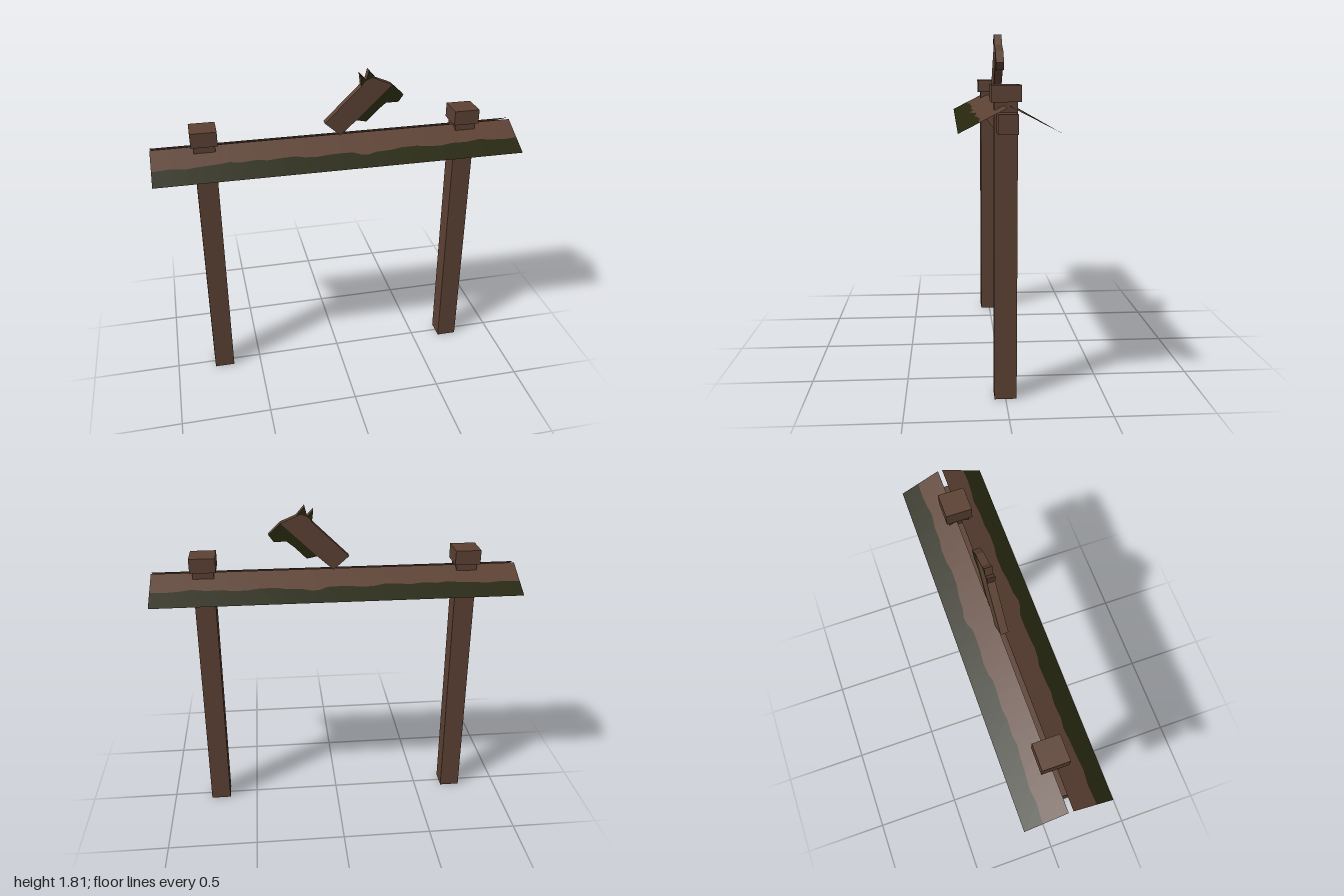
import * as THREE from 'three';

export function createModel() {
  const wood = new THREE.MeshStandardMaterial({ color: 0x5c4133, side: THREE.DoubleSide });
  wood.name = 'brown wood';
  const moss = new THREE.MeshStandardMaterial({ color: 0x26260f, side: THREE.DoubleSide });
  moss.name = 'dark moss';

  const group = new THREE.Group();
  const add = (name, geometry, material) => {
    const mesh = new THREE.Mesh(geometry, material);
    mesh.name = name;
    group.add(mesh);
    return mesh;
  };
  const box = (name, w, y0, y1, d, x = 0) =>
    add(name, new THREE.BoxGeometry(w, y1 - y0, d), wood).position.set(x, (y0 + y1) / 2, 0);

  // Posts with square caps, joined by a cross beam
  for (const [label, s] of [['left', 1], ['right', -1]]) {
    box(label + 'Post', 0.113, 0, 1.48, 0.11, s * 0.72);
    box(label + 'PostCap', 0.14, 1.476, 1.556, 0.144, s * 0.72);
  }
  box('crossBeam', 1.826, 1.335, 1.427, 0.092);

  // Roof slopes: thin sheets, wood above a ragged mossy eave; edge is [x, z distance]
  const edge = [
    [-1, 0.138], [-0.9, 0.132], [-0.82, 0.14], [-0.74, 0.133], [-0.65, 0.128], [-0.6, 0.122],
    [-0.54, 0.13], [-0.46, 0.124], [-0.4, 0.132], [-0.32, 0.126], [-0.25, 0.124], [-0.2, 0.135],
    [-0.14, 0.139], [-0.08, 0.133], [0, 0.13], [0.06, 0.132], [0.1, 0.149], [0.14, 0.153],
    [0.19, 0.141], [0.27, 0.138], [0.33, 0.128], [0.42, 0.127], [0.48, 0.137], [0.56, 0.139],
    [0.62, 0.13], [0.7, 0.132], [0.78, 0.122], [0.85, 0.131], [0.93, 0.136], [1, 0.132],
  ];
  const Z_RIDGE = 0.012, Z_EAVE = 0.231;
  const slope = (side, upper) => {
    const pts = [], index = [];
    edge.forEach(([x, z], i) => {
      for (const d of upper ? [Z_RIDGE, z] : [z, Z_EAVE]) {
        pts.push(x, 1.46 - 0.112 * (d - Z_RIDGE) / (Z_EAVE - Z_RIDGE), side * d);
      }
      if (i) {
        const a = 2 * i - 2;
        if (side > 0) index.push(a, a + 1, a + 2, a + 1, a + 3, a + 2);
        else index.push(a, a + 2, a + 1, a + 1, a + 2, a + 3);
      }
    });
    const g = new THREE.BufferGeometry();
    g.setAttribute('position', new THREE.Float32BufferAttribute(pts, 3));
    g.setIndex(index);
    g.computeVertexNormals();
    return g;
  };
  for (const [label, side] of [['front', 1], ['back', -1]]) {
    add(label + 'RoofBoards', slope(side, true), wood);
    add(label + 'RoofMoss', slope(side, false), moss);
  }

  // Carved animal head on the ridge, cut from a flat board
  const board = (name, points, material) => {
    const shape = new THREE.Shape(points.map(([x, y]) => new THREE.Vector2(x, y)));
    const g = new THREE.ExtrudeGeometry(shape, { depth: 0.042, bevelEnabled: false });
    add(name, g.translate(0, 0, -0.021), material);
  };
  board('carvedNeck', [[-0.07, 1.53], [0.015, 1.455], [0.104, 1.535], [0.298, 1.722],
    [0.214, 1.757], [0.19, 1.765], [0.155, 1.755], [0.13, 1.725]], wood);
  board('carvedMuzzle', [[0.104, 1.535], [0.16, 1.523], [0.225, 1.588], [0.267, 1.622],
    [0.336, 1.622], [0.363, 1.66], [0.298, 1.722]], [moss, wood]);
  board('carvedFrontEar', [[0.155, 1.755], [0.19, 1.765], [0.214, 1.757], [0.168, 1.81]], [moss, wood]);
  board('carvedBackEar', [[0.13, 1.725], [0.155, 1.755], [0.122, 1.79]], [moss, wood]);

  return group;
}
